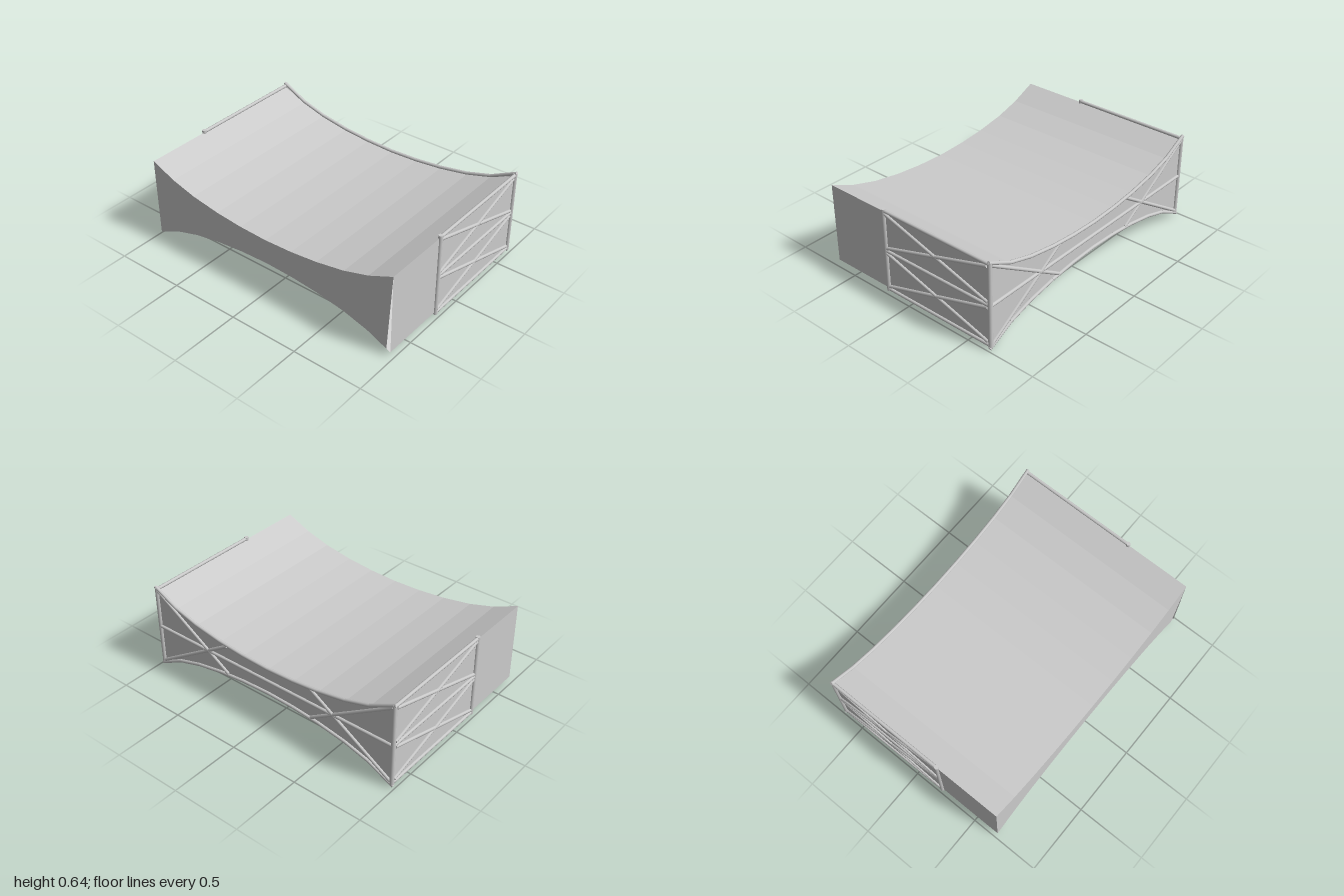
import * as THREE from 'three';

const MID = 0.32, FRONT = 0.675, BACK = -0.66, SIDE = 0.975;
// Half profile of the curved faces: [x, half height]
const HALF = [[0, 0.09], [0.21, 0.098], [0.41, 0.118], [0.62, 0.155], [0.8, 0.208], [SIDE, 0.286]];

export function createModel() {
  const model = new THREE.Group();
  const skin = new THREE.MeshStandardMaterial({ color: 0xcccccc, side: THREE.DoubleSide, flatShading: true });
  const steel = new THREE.MeshStandardMaterial({ color: 0xcccccc });

  const add = (name, geometry, material, parent = model) => {
    const mesh = new THREE.Mesh(geometry, material);
    mesh.name = name;
    parent.add(mesh);
    return mesh;
  };

  // Full curve from -x to +x
  const curve = [...HALF.slice(1).reverse().map(([x, h]) => [-x, h]), ...HALF];

  // Sheet stretched from front to back along a row of [x, y] points
  const sheet = (points) => {
    const g = new THREE.PlaneGeometry(1, 1, points.length - 1, 1);
    const p = g.attributes.position;
    for (let i = 0; i < p.count; i++) {
      const [x, y] = points[i % points.length];
      p.setXYZ(i, x, y, i < points.length ? BACK : FRONT);
    }
    g.computeVertexNormals();
    return g;
  };
  add('topSkin', sheet(curve.map(([x, h]) => [x, MID + h])), skin);
  add('undersideSkin', sheet(curve.map(([x, h]) => [x, MID - h]).reverse()), skin);
  const end = HALF[HALF.length - 1][1];
  add('leftSkin', sheet([[SIDE, MID + end], [SIDE, MID - end]]), skin);
  add('rightSkin', sheet([[-SIDE, MID - end], [-SIDE, MID + end]]), skin);

  // End panels; the front one leaves a narrow gap at its lower left corner
  const panel = (gap) => {
    const outline = [
      ...curve.map(([x, h]) => new THREE.Vector2(x, MID + h)),
      ...curve.map(([x, h]) => new THREE.Vector2(x, MID - h)).reverse(),
    ];
    outline[curve.length].x -= gap;
    outline[curve.length].y += gap * 0.4;
    return new THREE.ShapeGeometry(new THREE.Shape(outline));
  };
  add('frontPanel', panel(0.03), skin).position.z = FRONT;
  add('backPanel', panel(0), skin).position.z = BACK;

  // Round bar between two points
  const bar = (name, parent, a, b, r = 0.012) => {
    const from = new THREE.Vector3(...a), to = new THREE.Vector3(...b);
    const dir = to.clone().sub(from);
    const mesh = add(name, new THREE.CylinderGeometry(r, r, dir.length(), 8), steel, parent);
    mesh.position.copy(from).add(to).multiplyScalar(0.5);
    mesh.quaternion.setFromUnitVectors(new THREE.Vector3(0, 1, 0), dir.normalize());
  };

  // Back truss: curved chords, middle rail, posts and crossed braces
  const truss = new THREE.Group();
  truss.name = 'backTruss';
  model.add(truss);
  const zb = BACK - 0.002;
  for (const s of [1, -1]) {
    const chord = curve.map(([x, h]) => [x, MID + s * (h + 0.006), zb]);
    chord[0] = [-0.987, MID + s * 0.308, zb];
    chord[chord.length - 1] = [0.987, MID + s * 0.308, zb];
    for (let i = 1; i < chord.length; i++) {
      bar(s > 0 ? 'topChord' : 'bottomChord', truss, chord[i - 1], chord[i]);
    }
    for (const x of [-1, 1]) {
      bar('brace', truss, [x * 0.965, MID + s * 0.28, zb], [x * 0.35, MID - s * 0.11, zb]);
    }
  }
  bar('middleRail', truss, [-SIDE, MID, zb], [SIDE, MID, zb]);

  // Side frames: posts, three rails and two crossed bays
  for (const s of [1, -1]) {
    const frame = new THREE.Group();
    frame.name = s > 0 ? 'leftFrame' : 'rightFrame';
    model.add(frame);
    const x = s * SIDE, z0 = 0.2, z1 = -0.65;
    bar('frontPost', frame, [x, 0.018, z0], [x, 0.625, z0], 0.015);
    bar('backPost', frame, [x, 0.018, z1 - 0.01], [x, 0.625, z1 - 0.01], 0.015);
    const levels = [0.03, MID, 0.612];
    levels.forEach((y) => bar('rail', frame, [x, y, z0], [x, y, z1]));
    for (let i = 0; i < 2; i++) {
      const low = levels[i] + 0.02, high = levels[i + 1] - 0.02;
      bar('brace', frame, [x, low, z0 - 0.01], [x, high, z1 + 0.01]);
      bar('brace', frame, [x, high, z0 - 0.01], [x, low, z1 + 0.01]);
    }
  }
  return model;
}
